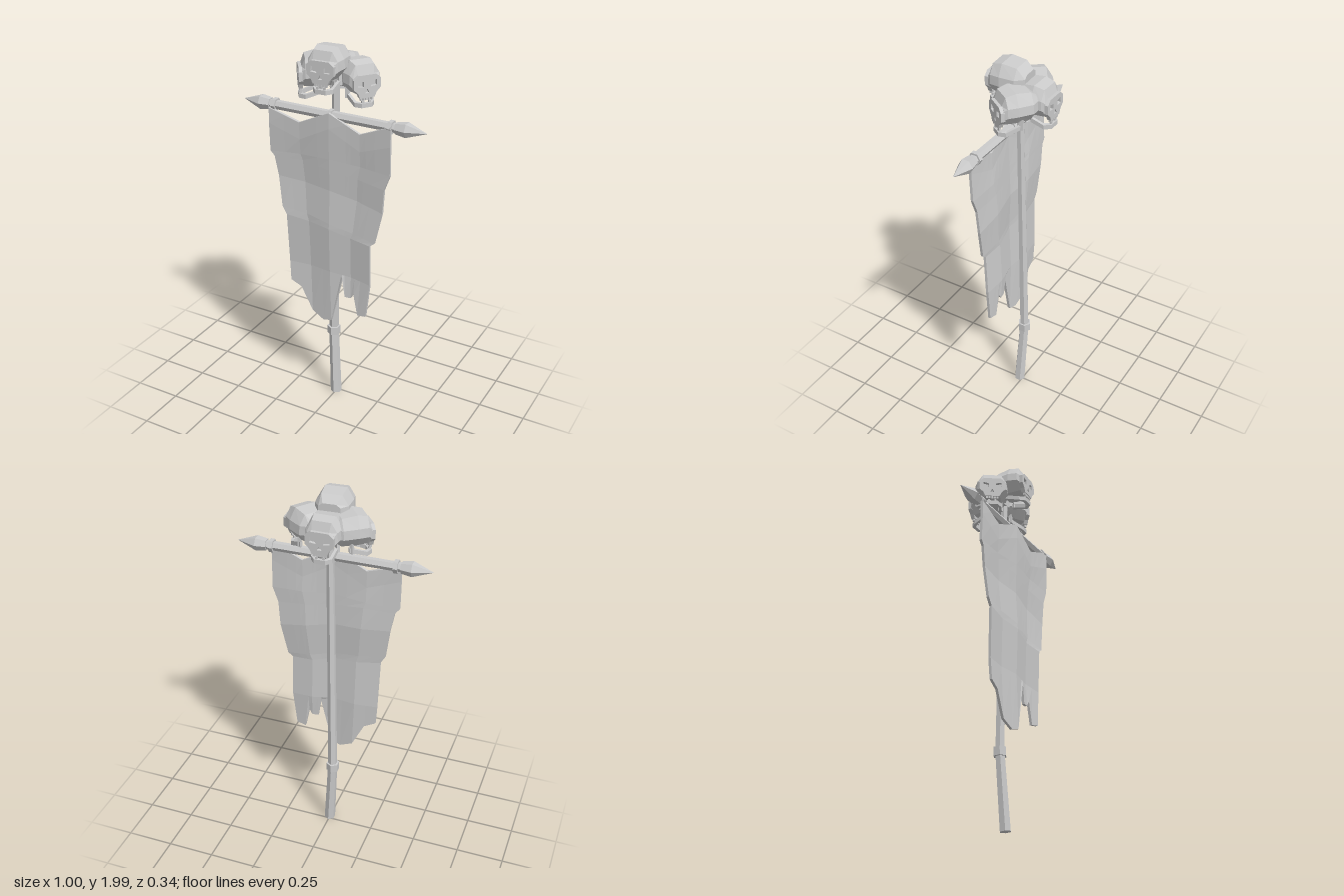
import * as THREE from 'three';

const mat = new THREE.MeshStandardMaterial({ color: 0xcccccc, flatShading: true, side: THREE.DoubleSide });

function add(parent, geo, name) {
  const m = new THREE.Mesh(geo, mat);
  m.name = name;
  parent.add(m);
  return m;
}

// Faceted rod between two points
function rod(parent, name, a, b, ra, rb, sides = 6) {
  const A = new THREE.Vector3(...a), B = new THREE.Vector3(...b);
  const d = B.clone().sub(A);
  const m = add(parent, new THREE.CylinderGeometry(rb, ra, d.length(), sides), name);
  m.position.copy(A).add(B).multiplyScalar(0.5);
  m.quaternion.setFromUnitVectors(new THREE.Vector3(0, 1, 0), d.normalize());
  return m;
}

// Closed skin over equal-length rings, with strip caps at both ends
function loft(rings) {
  const n = rings[0].length, idx = [], last = (rings.length - 1) * n;
  for (let i = 0; i < rings.length - 1; i++) for (let j = 0; j < n; j++) {
    const k = (j + 1) % n, a = i * n + j, b = i * n + k;
    idx.push(a, b, b + n, a, b + n, a + n);
  }
  for (let j = 0; j < n / 2 - 1; j++) {
    const q = [j, j + 1, n - 2 - j, n - 1 - j];
    idx.push(q[0], q[2], q[1], q[0], q[3], q[2]);
    const [a, b, c, d] = q.map(v => v + last);
    idx.push(a, b, c, a, c, d);
  }
  const g = new THREE.BufferGeometry();
  g.setAttribute('position', new THREE.Float32BufferAttribute(rings.flat(2), 3));
  g.setIndex(idx);
  g.computeVertexNormals();
  return g;
}

function polygon(points, Type = THREE.Shape) {
  return new Type(points.map(p => new THREE.Vector2(...p)));
}

function makeSkull() {
  const skull = new THREE.Group();
  // Cranium sections from back to front: z, half width, bottom, middle, top
  const sections = [
    [-0.098, 0.055, -0.02, 0.015, 0.06],
    [-0.055, 0.085, -0.05, 0.012, 0.09],
    [0.02, 0.09, -0.052, 0.015, 0.1],
    [0.07, 0.08, -0.05, 0.012, 0.088],
    [0.086, 0.07, -0.05, 0.0, 0.045],
  ];
  add(skull, loft(sections.map(([z, w, yb, ym, yt]) => {
    const half = [[0.55 * w, yb], [w, ym - 0.015], [0.96 * w, ym + 0.03], [0.6 * w, yt]];
    const mirror = half.map(([x, y]) => [-x, y]).reverse();
    return [...half, ...mirror].map(([x, y]) => [x, y, z]);
  })), 'cranium');

  // Face plate with eye and nose openings
  const face = polygon([[-0.038, -0.065], [0.038, -0.065], [0.048, -0.042], [0.07, -0.02],
    [0.07, 0.025], [0.045, 0.046], [-0.045, 0.046], [-0.07, 0.025], [-0.07, -0.02], [-0.048, -0.042]]);
  for (const s of [-1, 1]) {
    face.holes.push(polygon([[s * 0.018, -0.012], [s * 0.05, -0.008], [s * 0.048, 0.02], [s * 0.02, 0.014]], THREE.Path));
  }
  face.holes.push(polygon([[-0.011, -0.042], [0.011, -0.042], [0, -0.02]], THREE.Path));
  add(skull, new THREE.ExtrudeGeometry(face, { depth: 0.022, bevelEnabled: false }), 'face').position.z = 0.08;

  // Upper and lower teeth
  for (let i = -2; i <= 2; i++) {
    add(skull, new THREE.BoxGeometry(0.011, 0.014, 0.012), 'upperTooth').position.set(i * 0.014, -0.071, 0.092);
    if (i % 2) add(skull, new THREE.BoxGeometry(0.011, 0.014, 0.01), 'lowerTooth').position.set(i * 0.018, -0.088, 0.09);
  }

  // Lower jaw: horseshoe bar with rising side branches
  const jaw = polygon([[-0.058, 0.02], [-0.052, -0.07], [-0.028, -0.1], [0.028, -0.1], [0.052, -0.07], [0.058, 0.02],
    [0.044, 0.02], [0.038, -0.062], [0.02, -0.082], [-0.02, -0.082], [-0.038, -0.062], [-0.044, 0.02]]);
  const jg = new THREE.ExtrudeGeometry(jaw, { depth: 0.022, bevelEnabled: false });
  jg.rotateX(-Math.PI / 2).translate(0, -0.114, 0);
  // Lift the rear of the jaw towards the cranium
  const p = jg.attributes.position;
  for (let i = 0; i < p.count; i++) p.setY(i, p.getY(i) + Math.max(0, 0.07 - p.getZ(i)) * 0.35);
  jg.computeVertexNormals();
  add(skull, jg, 'jaw');
  for (const s of [-1, 1]) rod(skull, 'jawBranch', [s * 0.051, -0.09, -0.005], [s * 0.052, -0.035, -0.008], 0.013, 0.011, 4);
  return skull;
}

function makeBanner() {
  // Column positions 0..4 across the cloth, with torn hem points beneath
  const cols = [0, 0.5, 1, 1.6, 2, 2.55, 2.7, 3, 3.2, 3.5, 4];
  const hem = [[-0.235, 0.69], [-0.175, 0.66], [-0.11, 0.53], [-0.04, 0.495], [0.01, 0.51], [0.07, 0.775],
    [0.085, 0.67], [0.118, 0.67], [0.135, 0.7], [0.16, 0.58], [0.21, 0.59]];
  // Rows upward: left, right, five heights, base z, fold depth
  const rows = [
    [-0.242, 0.23, [0.8, 0.8, 0.8, 0.79, 0.78], 0.069, 0.008],
    [-0.25, 0.23, [1.075, 1.06, 1.05, 1.02, 1.01], 0.078, 0.008],
    [-0.275, 0.255, [1.115, 1.1, 1.08, 1.05, 1.03], 0.077, 0.008],
    [-0.298, 0.29, [1.28, 1.27, 1.26, 1.23, 1.2], 0.067, 0.008],
    [-0.318, 0.3, [1.385, 1.39, 1.37, 1.35, 1.33], 0.072, 0.007],
    [-0.34, 0.33, [1.41, 1.42, 1.43, 1.42, 1.41], 0.074, 0.007],
    [-0.34, 0.33, [1.56, 1.5, 1.59, 1.5, 1.56], 0.08, 0.006],
    [-0.34, 0.33, [1.64, 1.59, 1.67, 1.59, 1.66], 0.08, 0.004],
  ];
  const sample = (a, t) => {
    const i = Math.min(3, Math.floor(t));
    return THREE.MathUtils.lerp(a[i], a[i + 1], t - i);
  };
  const folds = [0.6, -1, 1, -1, 0.6];
  const lines = [hem.map(([x, y], i) => [x, y, 0.074 + 0.006 * sample(folds, cols[i])])];
  for (const [l, r, ys, z, f] of rows) {
    lines.push(cols.map(t => [sample([l, l / 2, 0, r / 2, r], t), sample(ys, t), z + f * sample(folds, t)]));
  }
  const h = 0.007;
  return loft(lines.map(line => [
    ...line.map(([x, y, z]) => [x, y, z + h]),
    ...line.map(([x, y, z]) => [x, y, z - h]).reverse(),
  ]));
}

export function createModel() {
  const model = new THREE.Group();
  model.name = 'skullBanner';

  // Pole with grip and collar
  rod(model, 'poleGrip', [0, 0.008, 0.017], [-0.022, 0.4, 0], 0.03, 0.026);
  rod(model, 'poleCollar', [-0.023, 0.375, 0.001], [-0.023, 0.42, 0], 0.035, 0.035);
  rod(model, 'poleShaft', [-0.022, 0.4, 0], [0, 1.87, 0.014], 0.025, 0.019);

  // Crossbar with rings and spear tips
  const y = 1.65, z = 0.058;
  rod(model, 'crossbar', [-0.35, y, z], [0.35, y, z], 0.024, 0.024);
  for (const s of [-1, 1]) {
    rod(model, 'crossbarRing', [s * 0.308, y, z], [s * 0.33, y, z], 0.034, 0.034);
    rod(model, 'spearBase', [s * 0.345, y, z], [s * 0.4, y, z], 0.03, 0.038);
    rod(model, 'spearPoint', [s * 0.4, y, z], [s * 0.5, y, z], 0.038, 0.001);
  }
  rod(model, 'centreLashing', [-0.014, y, z], [0.008, y, z], 0.032, 0.032);

  add(model, makeBanner(), 'banner');

  // Skull cluster: position and heading
  const heads = [
    ['frontSkull', -0.008, 1.9, 0.064, 0.06],
    ['leftSkull', 0.097, 1.828, -0.022, 0.95],
    ['rightSkull', -0.107, 1.828, -0.006, -0.95],
    ['backSkull', -0.014, 1.83, -0.066, Math.PI],
  ];
  for (const [name, x, hy, hz, turn] of heads) {
    const skull = makeSkull();
    skull.name = name;
    skull.position.set(x, hy, hz);
    skull.rotation.y = turn;
    model.add(skull);
  }
  return model;
}
